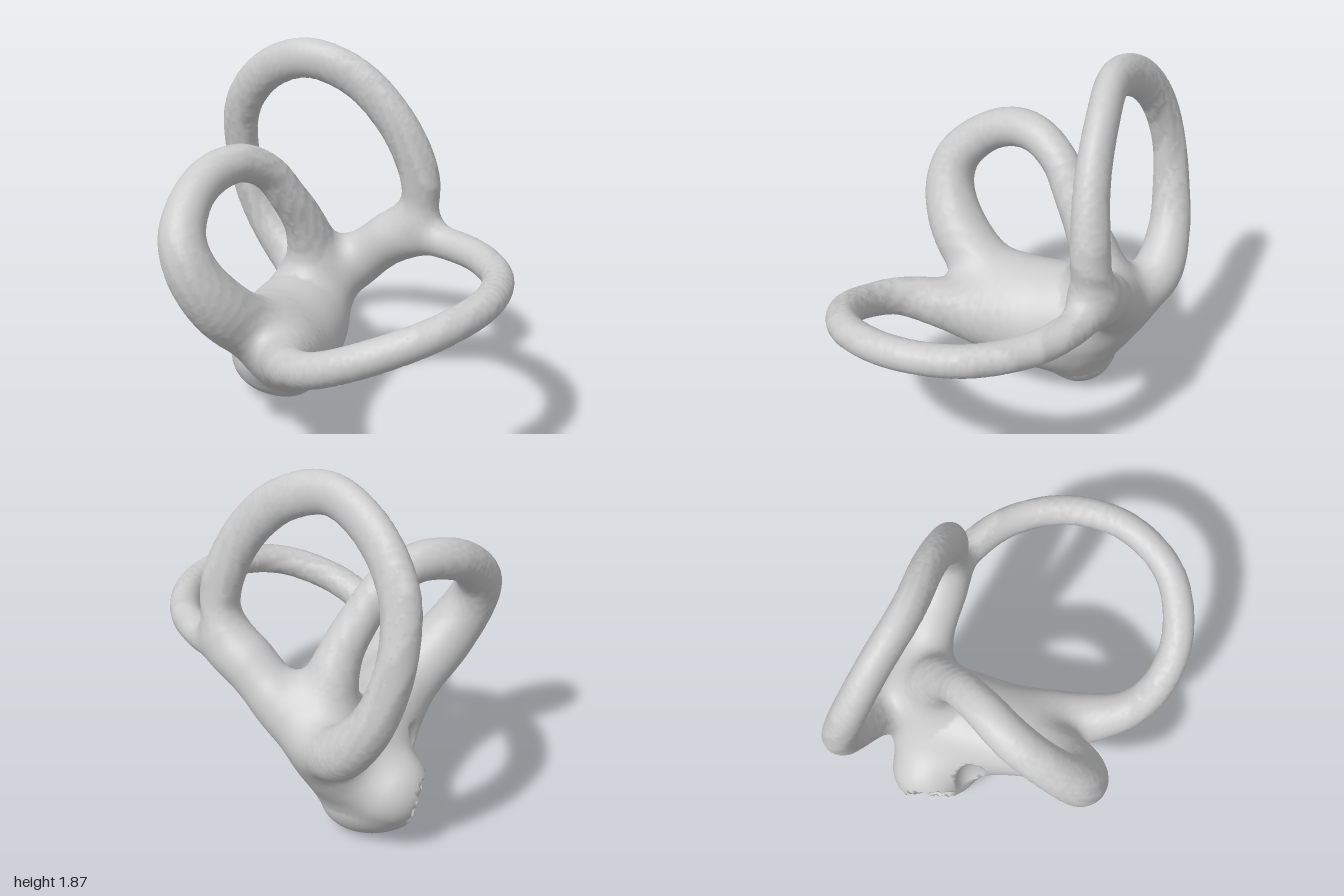
import * as THREE from 'three';

const material = new THREE.MeshStandardMaterial({ color: 0xcccccc, side: THREE.DoubleSide });
const CELL = 0.026, BLEND = 0.12, STEPS = 110;
const MIN = [-0.9, -0.08, -1.1], COUNT = [69, 79, 83];

// Tubes with round ends; stations are [x, y, z, radius, flattening across the loop's plane]
const tubes = {
  // Central chamber
  vestibule: { stations: [
    [0, 0.19, -0.385, 0.19], [0, 0.27, -0.365, 0.22], [0.02, 0.37, -0.345, 0.245],
    [0.05, 0.44, -0.33, 0.245],
  ] },
  // Bulge at the back that carries the two openings
  windowBulge: { stations: [
    [-0.11, 0.2, -0.47, 0.16], [-0.11, 0.25, -0.52, 0.175], [-0.11, 0.31, -0.555, 0.185],
  ] },
  // Thick stem shared by the rear and front loops
  sharedStem: { stations: [
    [0.1, 0.45, -0.46, 0.18], [0.22, 0.58, -0.44, 0.16], [0.36, 0.715, -0.33, 0.14],
    [0.47, 0.84, -0.22, 0.112], [0.56, 0.96, -0.12, 0.08],
  ] },
  // Tall rear loop
  anteriorCanal: { planeNormal: [0.79, 0, -0.61], stations: [
    [0.14, 0.5, -0.44, 0.13], [0.2, 0.58, -0.59, 0.125], [0.17, 0.65, -0.73, 0.125],
    [0.08, 0.82, -0.85, 0.105], [0.01, 1.0, -0.895, 0.093], [-0.045, 1.25, -0.9, 0.09, 0.9],
    [-0.055, 1.48, -0.83, 0.098, 0.8], [0.015, 1.68, -0.66, 0.1, 0.75], [0.145, 1.77, -0.44, 0.1, 0.75],
    [0.32, 1.69, -0.27, 0.1, 0.75], [0.475, 1.48, -0.13, 0.1, 0.8], [0.575, 1.22, -0.07, 0.1, 0.9],
    [0.585, 1.05, -0.08, 0.09], [0.54, 0.92, -0.14, 0.08],
  ] },
  // Side loop
  posteriorCanal: { stations: [
    [-0.1, 0.46, -0.23, 0.21], [-0.33, 0.57, -0.04, 0.16], [-0.53, 0.74, 0.03, 0.145],
    [-0.655, 0.93, 0.02, 0.125], [-0.675, 1.08, -0.04, 0.112], [-0.58, 1.23, -0.15, 0.1],
    [-0.44, 1.31, -0.235, 0.098], [-0.28, 1.325, -0.285, 0.093], [-0.13, 1.25, -0.32, 0.09],
    [-0.02, 1.11, -0.335, 0.093], [0.08, 0.95, -0.36, 0.105], [0.14, 0.78, -0.39, 0.13],
    [0.15, 0.58, -0.4, 0.14],
  ] },
  // Level front loop, swelling where it meets the chamber
  lateralCanal: { stations: [
    [0.48, 0.86, -0.2, 0.08], [0.58, 0.89, -0.08, 0.08], [0.66, 0.89, 0.06, 0.08],
    [0.71, 0.89, 0.3, 0.077], [0.64, 0.89, 0.6, 0.075], [0.43, 0.88, 0.83, 0.075],
    [0.13, 0.83, 0.92, 0.077], [-0.15, 0.73, 0.83, 0.08], [-0.31, 0.63, 0.65, 0.083],
    [-0.35, 0.57, 0.46, 0.095], [-0.28, 0.5, 0.25, 0.13], [-0.19, 0.435, 0.05, 0.18],
    [-0.07, 0.36, -0.16, 0.21], [0, 0.34, -0.3, 0.18],
  ] },
};

// Hollows of the two openings: centre and radii of an ellipsoid
const hollows = [
  { centre: [-0.29, 0.24, -0.635], radii: [0.14, 0.15, 0.14] },
  { centre: [-0.32, 0.4, -0.4], radii: [0.1, 0.18, 0.09] },
];

// Spheres strung along a tube
function trace({ stations, planeNormal = [0, 1, 0] }) {
  const path = new THREE.CatmullRomCurve3(stations.map(([x, y, z]) => new THREE.Vector3(x, y, z)));
  const sizes = new THREE.SplineCurve(stations.map((s) => new THREE.Vector2(s[3], s[4] ?? 1)));
  return Array.from({ length: STEPS + 1 }, (_, i) => {
    const t = path.getUtoTmapping(i / STEPS), { x, y, z } = path.getPoint(t), size = sizes.getPoint(t);
    return { x, y, z, radius: size.x, stretch: 1 / size.y ** 2 - 1, n: planeNormal };
  });
}

const names = Object.keys(tubes);
const spines = names.map((name) => trace(tubes[name]));

function distanceTo(spine, [px, py, pz]) {
  let best = Infinity;
  for (const s of spine) {
    const x = px - s.x, y = py - s.y, z = pz - s.z;
    const across = x * s.n[0] + y * s.n[1] + z * s.n[2];
    best = Math.min(best, Math.sqrt(x * x + y * y + z * z + s.stretch * across * across) - s.radius);
  }
  return best;
}

function softMin(a, b) {
  const h = Math.max(BLEND - Math.abs(a - b), 0) / BLEND;
  return Math.min(a, b) - h * h * BLEND / 4;
}

// Signed distance to the softly joined tubes, less the hollows
function field(p) {
  let d = spines.map((spine) => distanceTo(spine, p)).reduce(softMin);
  for (const { centre, radii } of hollows) {
    const reach = Math.hypot(...p.map((v, a) => (v - centre[a]) / radii[a]));
    d = Math.max(d, (1 - reach) * Math.min(...radii));
  }
  return d;
}

function gradient(p, e = 0.002) {
  return p.map((_, a) => {
    const up = [...p], down = [...p];
    up[a] += e;
    down[a] -= e;
    return (field(up) - field(down)) / (2 * e);
  });
}

// Slide a point onto the surface
function settle(p) {
  for (let i = 0; i < 3; i++) {
    const g = gradient(p), d = field(p) / Math.max(g[0] ** 2 + g[1] ** 2 + g[2] ** 2, 0.25);
    p = p.map((v, a) => v - THREE.MathUtils.clamp(g[a] * d, -CELL / 2, CELL / 2));
  }
  return p;
}

// Wrap the field in a quad net and sort its faces by the tube they belong to
function buildSkin() {
  const stride = [1, COUNT[0], COUNT[0] * COUNT[1]];
  const total = stride[2] * COUNT[2];
  const place = (id) => [id % COUNT[0], Math.floor(id / stride[1]) % COUNT[1], Math.floor(id / stride[2])];
  const values = new Float32Array(total);
  for (let id = 0; id < total; id++) values[id] = field(place(id).map((v, a) => MIN[a] + v * CELL));

  // One vertex per grid cell, made on demand at the mean of its edge crossings
  const positions = [], normals = [], owners = [], vertexOf = new Map();
  function vertex(cell) {
    if (vertexOf.has(cell)) return vertexOf.get(cell);
    const sum = [0, 0, 0], base = place(cell);
    let hits = 0;
    for (let corner = 0; corner < 8; corner++) {
      const bits = [corner & 1, (corner >> 1) & 1, corner >> 2];
      const from = cell + bits[0] + bits[1] * stride[1] + bits[2] * stride[2];
      for (let a = 0; a < 3; a++) {
        const v0 = values[from], v1 = values[from + stride[a]];
        if (bits[a] || (v0 < 0) === (v1 < 0)) continue;
        hits++;
        for (let k = 0; k < 3; k++) sum[k] += bits[k] + (k === a ? v0 / (v0 - v1) : 0);
      }
    }
    const p = settle(sum.map((s, a) => MIN[a] + (base[a] + s / hits) * CELL));
    const reach = spines.map((spine) => distanceTo(spine, p));
    positions.push(...p);
    normals.push(...new THREE.Vector3(...gradient(p)).normalize().toArray());
    owners.push(reach.indexOf(Math.min(...reach)));
    vertexOf.set(cell, owners.length - 1);
    return owners.length - 1;
  }

  const faces = names.map(() => []);
  for (let id = 0; id < total; id++) {
    if (place(id).some((v, a) => v === 0 || v === COUNT[a] - 1)) continue;
    for (let a = 0; a < 3; a++) {
      const inside = values[id] < 0;
      if (inside === (values[id + stride[a]] < 0)) continue;
      const v = stride[(a + 1) % 3], w = stride[(a + 2) % 3];
      const quad = [id, id - v, id - v - w, id - w].map(vertex);
      if (!inside) quad.reverse();
      const [q0, q1, q2, q3] = quad;
      faces[owners[q0]].push(q0, q1, q2, q0, q2, q3);
    }
  }
  return { positions, normals, faces };
}

export function createModel() {
  const model = new THREE.Group();
  model.name = 'innerEarCanals';
  const { positions, normals, faces } = buildSkin();
  names.forEach((name, i) => {
    const geometry = new THREE.BufferGeometry();
    geometry.setAttribute('position', new THREE.Float32BufferAttribute(positions, 3));
    geometry.setAttribute('normal', new THREE.Float32BufferAttribute(normals, 3));
    geometry.setIndex(faces[i]);
    const mesh = new THREE.Mesh(geometry.toNonIndexed(), material);
    mesh.name = name;
    model.add(mesh);
  });
  return model;
}
